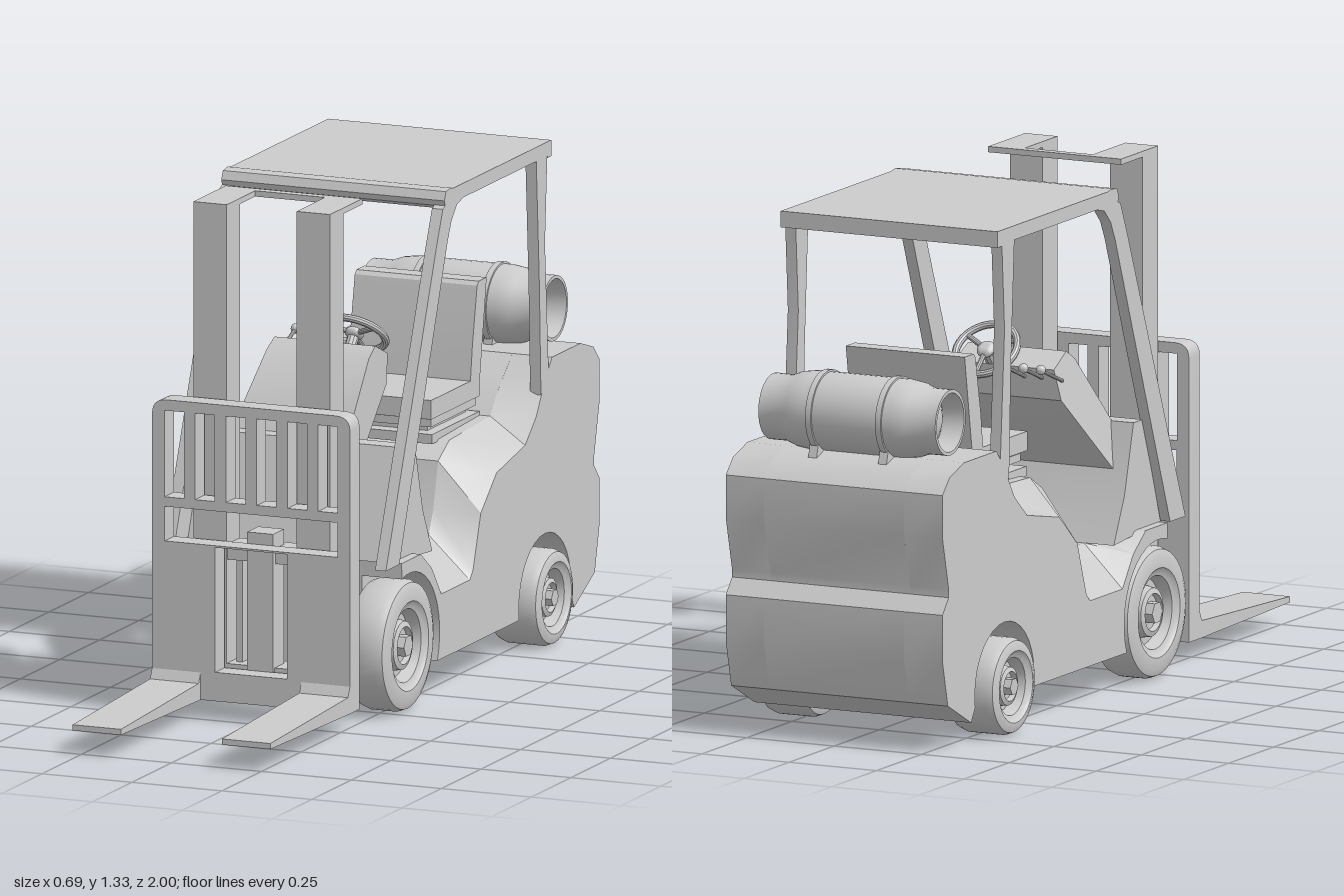
import * as THREE from 'three';
import { toCreasedNormals } from 'three/addons/utils/BufferGeometryUtils.js';

const material = new THREE.MeshStandardMaterial({ color: 0xcccccc, side: THREE.DoubleSide });
const V = (x, y, z) => new THREE.Vector3(x, y, z);

export function createModel() {
  const model = new THREE.Group();

  function add(name, geometry, parent = model) {
    const mesh = new THREE.Mesh(toCreasedNormals(geometry, 0.55), material);
    mesh.name = name;
    parent.add(mesh);
    return mesh;
  }
  // Box given by its minimum and maximum corners
  function box(name, x0, x1, y0, y1, z0, z1, parent) {
    const g = new THREE.BoxGeometry(x1 - x0, y1 - y0, z1 - z0);
    g.translate((x0 + x1) / 2, (y0 + y1) / 2, (z0 + z1) / 2);
    return add(name, g, parent);
  }
  // Side profile of [z, y] points, extruded from x0 to x1
  function sideGeometry(points, x0, x1, edit) {
    const shape = new THREE.Shape(points.map(p => new THREE.Vector2(...p)));
    const g = new THREE.ExtrudeGeometry(shape, { depth: x1 - x0, bevelEnabled: false });
    if (edit) edit(g.attributes.position);
    g.rotateY(-Math.PI / 2);
    return g.translate(x1, 0, 0);
  }
  const side = (name, points, x0, x1, edit) => add(name, sideGeometry(points, x0, x1, edit));
  // Round bar between two points
  function rod(name, a, b, r, parent) {
    return add(name, new THREE.TubeGeometry(new THREE.LineCurve3(a, b), 1, r, 10), parent);
  }
  const rectPath = (x0, x1, y0, y1) => new THREE.Path([[x0, y0], [x1, y0], [x1, y1], [x0, y1]]
    .map(p => new THREE.Vector2(...p)));
  const arc = (cz, cy, r, from, to, n) => Array.from({ length: n + 1 }, (_, i) => {
    const a = THREE.MathUtils.degToRad(from + (to - from) * i / n);
    return [cz + r * Math.cos(a), cy + r * Math.sin(a)];
  });

  // Body: a middle block, and side panels with wheel arches that slope outwards
  const rear = [[-0.84, 0.065], [-0.97, 0.13], [-1, 0.25], [-1, 0.37], [-0.965, 0.41], [-0.965, 0.43],
    [-1, 0.57], [-1, 0.68], [-0.96, 0.72], [-0.88, 0.745], [-0.7, 0.745]];
  const outerTop = [[-0.66, 0.7], [-0.6, 0.61], [-0.53, 0.55], [-0.35, 0.515], [-0.25, 0.43], [-0.2, 0.29],
    [-0.18, 0.27], [0, 0.27], [0.06, 0.35], [0.13, 0.4], [0.25, 0.4]];
  const innerTop = [[-0.66, 0.71], [-0.6, 0.66], [-0.56, 0.61], [-0.3, 0.6], [-0.23, 0.56], [-0.2, 0.44],
    [-0.17, 0.38], [0, 0.38], [0.06, 0.39], [0.13, 0.4], [0.25, 0.4]];
  const arches = [...arc(0.2, 0.175, 0.19, 75, 203, 14), ...arc(-0.655, 0.13, 0.165, -10, 190, 18)];
  const outer = [...arches, ...rear, ...outerTop];
  const inner = [...arches, ...rear, ...innerTop];
  side('bodyCore', [[0.25, 0.1], [-0.8, 0.1], ...rear, ...innerTop], -0.2, 0.2);
  for (const s of [1, -1]) {
    side('bodySidePanel', outer, s > 0 ? 0.2 : -0.31, s > 0 ? 0.31 : -0.2, pos => {
      for (let i = 0; i < pos.count; i++) {
        const atInner = (pos.getZ(i) > 0.05) === (s > 0);
        if (!atInner) continue;
        const k = outer.findIndex(p => Math.hypot(p[0] - pos.getX(i), p[1] - pos.getY(i)) < 1e-4);
        pos.setXY(i, ...inner[k]);
      }
    });
  }

  // Front cowl and the steering console, which narrows upwards on the lever side
  side('frontCowl', [[0.26, 0.4], [0.16, 0.68], [0.11, 0.68], [0.06, 0.5], [0, 0.38]], -0.285, 0.285);
  side('console', [[0.16, 0.5], [0.13, 0.66], [-0.02, 0.86], [-0.06, 0.885], [-0.14, 0.85], [-0.13, 0.77],
    [0.08, 0.56]], -0.18, 0.1, pos => {
    for (let i = 0; i < pos.count; i++) {
      if (pos.getZ(i) > 0.1) pos.setZ(i, pos.getZ(i) + 0.2 * Math.max(0, 0.88 - pos.getY(i)));
    }
  });

  // Steering wheel with hub, spokes and column
  const steering = new THREE.Group();
  steering.name = 'steeringWheel';
  steering.position.set(0, 0.89, -0.155);
  steering.rotation.x = -2.28;
  add('steeringRim', new THREE.TorusGeometry(0.083, 0.01, 10, 36), steering);
  add('steeringHub', new THREE.SphereGeometry(0.025, 16, 10).scale(1, 1, 0.6), steering);
  for (let i = 0; i < 3; i++) {
    const a = Math.PI / 2 + i * Math.PI * 2 / 3;
    rod('steeringSpoke', V(0, 0, 0), V(0.083 * Math.cos(a), 0.083 * Math.sin(a), 0), 0.007, steering);
  }
  rod('steeringColumn', V(0, 0, 0), V(0, 0, -0.08), 0.015, steering);
  model.add(steering);

  // Control levers
  for (const x of [-0.1, -0.15, -0.2]) {
    rod('lever', V(x, 0.82, -0.12), V(x, 0.865, -0.235), 0.005);
    add('leverKnob', new THREE.SphereGeometry(0.013, 12, 8).translate(x, 0.868, -0.24));
  }

  // Seat
  box('seatPlatform', -0.17, 0.17, 0.595, 0.62, -0.56, -0.26);
  box('seatSuspension', -0.14, 0.14, 0.62, 0.635, -0.54, -0.3);
  box('seatPan', -0.16, 0.16, 0.635, 0.655, -0.56, -0.275);
  box('seatCushion', -0.17, 0.17, 0.66, 0.71, -0.56, -0.255);
  side('seatBack', [[-0.5, 0.69], [-0.515, 0.8], [-0.545, 0.95], [-0.555, 0.96], [-0.605, 0.96], [-0.56, 0.69]],
    -0.17, 0.17);

  // Overhead guard: pillars, roof plate and rim
  for (const s of [1, -1]) {
    const x0 = s > 0 ? 0.28 : -0.31, x1 = x0 + 0.03;
    side('frontPillar', [[0.35, 0.4], [0.03, 1.18], [-0.01, 1.27], [-0.08, 1.3], [-0.14, 1.275],
      [-0.1, 1.265], [-0.065, 1.23], [-0.04, 1.18], [0.265, 0.4]], x0, x1);
    side('rearPillar', [[-0.6, 1.28], [-0.67, 1.28], [-0.655, 1.05], [-0.68, 0.69], [-0.63, 0.66], [-0.62, 0.95]],
      x0, x1);
    box('roofSideRim', x0, x1, 1.275, 1.312, -0.69, -0.08);
  }
  box('roofPlate', -0.31, 0.31, 1.29, 1.312, -0.695, -0.08);
  box('roofRearRim', -0.31, 0.31, 1.27, 1.312, -0.695, -0.67);
  side('roofFrontVisor', [[-0.02, 1.29], [-0.03, 1.312], [-0.06, 1.316], [-0.1, 1.308], [-0.12, 1.308],
    [-0.12, 1.285], [-0.07, 1.275], [-0.04, 1.265], [-0.025, 1.275]], -0.31, 0.31);

  // Mast with lift cylinder and crossbars
  for (const x of [-0.19, 0.097]) {
    box('mastRail', x, x + 0.093, 0.1, 1.335, 0.345, 0.43);
    box('mastTopArm', x, x + 0.093, 1.32, 1.335, 0.23, 0.345);
  }
  box('mastTopBar', -0.19, 0.19, 1.32, 1.335, 0.225, 0.25);
  box('mastMiddleBar', -0.1, 0.1, 0.41, 0.45, 0.345, 0.425);
  box('mastLowerBar', -0.1, 0.1, 0.1, 0.14, 0.345, 0.43);
  box('liftCylinder', -0.036, 0.036, 0.13, 0.49, 0.37, 0.44);
  for (const x of [-0.083, 0.067]) box('liftGuide', x, x + 0.016, 0.13, 0.42, 0.36, 0.4);

  // Carriage with load backrest, cut by grille slots and windows
  const plate = new THREE.Shape();
  plate.moveTo(-0.275, 0.055).lineTo(0.275, 0.055).lineTo(0.275, 0.79);
  plate.quadraticCurveTo(0.275, 0.828, 0.235, 0.828).lineTo(-0.235, 0.828);
  plate.quadraticCurveTo(-0.275, 0.828, -0.275, 0.79);
  for (let i = 0; i < 6; i++) {
    const x = -0.2135 + i * 0.0854;
    plate.holes.push(rectPath(x - 0.027, x + 0.027, 0.575, 0.8));
  }
  plate.holes.push(rectPath(-0.24, 0.24, 0.46, 0.55), rectPath(-0.1, 0.1, 0.13, 0.455));
  add('carriage', new THREE.ExtrudeGeometry(plate, { depth: 0.06, bevelEnabled: false, curveSegments: 6 })
    .translate(0, 0, 0.437));

  // Forks
  for (const s of [1, -1]) {
    side('fork', [[0.44, 0.055], [0.44, 0.14], [0.49, 0.14], [0.51, 0.1], [1, 0.08], [1, 0.065], [0.5, 0.055]],
      s > 0 ? 0.14 : -0.275, s > 0 ? 0.275 : -0.14);
  }

  // Wheels: turned tyre and recessed rim, with a six-sided hub nut
  function wheel(name, s, z, r, rim, x0, x1) {
    const w = x1 - x0, c = 0.025;
    const profile = [[0, 0], [rim, 0], [r - c, 0], [r - 0.007, 0.007], [r, c], [r, w - c], [r - 0.007, w - 0.007],
      [r - c, w], [rim + 0.008, w], [rim, w - 0.008], [rim * 0.88, w - 0.012], [rim * 0.8, w - 0.045],
      [rim * 0.62, w - 0.045], [rim * 0.58, w - 0.02], [rim * 0.45, w - 0.015], [rim * 0.42, w - 0.03], [0, w - 0.03]];
    const group = new THREE.Group();
    group.name = name;
    add('tyreAndRim', new THREE.LatheGeometry(profile.map(p => new THREE.Vector2(...p)), 40), group);
    add('hubNut', new THREE.CylinderGeometry(rim * 0.27, rim * 0.27, 0.03, 6).translate(0, w - 0.02, 0), group);
    group.rotation.z = -s * Math.PI / 2;
    group.position.set(s * x0, r + 0.005, z);
    model.add(group);
  }
  for (const s of [1, -1]) {
    wheel('frontWheel', s, 0.2, 0.17, 0.108, 0.2, 0.312);
    wheel('rearWheel', s, -0.655, 0.125, 0.085, 0.2, 0.343);
  }

  // Gas bottle: turned shell with open collars, straps and feet
  const half = [[0, 0.215], [0.04, 0.21], [0.07, 0.195], [0.076, 0.253], [0.085, 0.253], [0.085, 0.2],
    [0.096, 0.17], [0.102, 0.13]];
  const shell = [...half.map(([r, y]) => [r, -y]), ...half.slice().reverse()];
  const bottle = new THREE.Group();
  bottle.name = 'gasBottle';
  bottle.position.set(0, 0.838, -0.845);
  bottle.rotation.z = Math.PI / 2;
  add('bottleShell', new THREE.LatheGeometry(shell.map(p => new THREE.Vector2(...p)), 36), bottle);
  for (const y of [-0.1, 0.1]) {
    add('bottleStrap', new THREE.CylinderGeometry(0.107, 0.107, 0.016, 36).translate(0, y, 0), bottle);
  }
  model.add(bottle);
  for (const x of [-0.1, 0.1]) {
    side('bottleFoot', [[-0.77, 0.735], [-0.775, 0.77], [-0.845, 0.735], [-0.915, 0.77], [-0.93, 0.72]],
      x - 0.012, x + 0.012);
  }
  return model;
}
